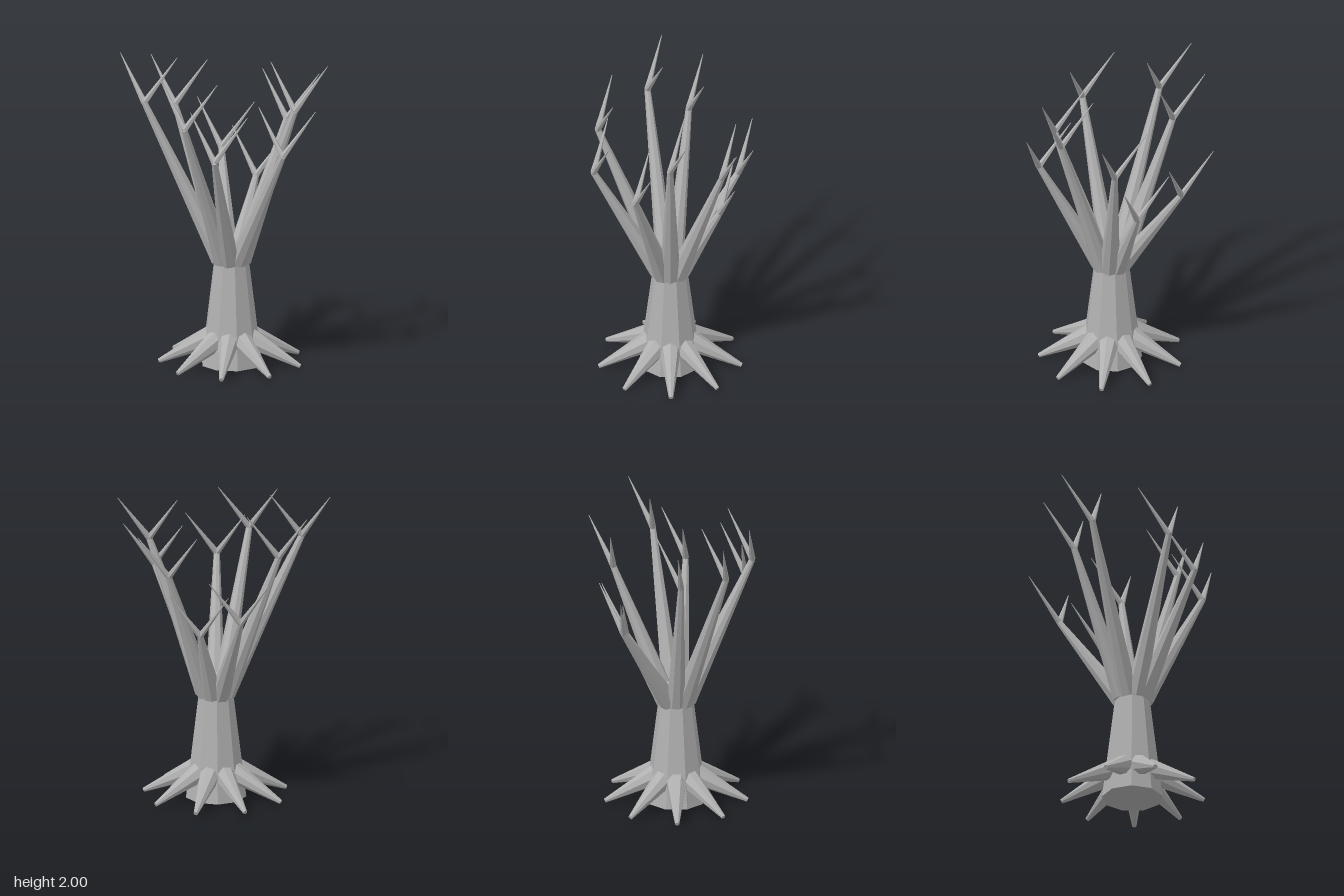
import * as THREE from 'three';

export function createModel() {
  const tree = new THREE.Group();
  tree.name = 'bareTree';
  const bark = new THREE.MeshStandardMaterial({ color: 0xb0b0b0, flatShading: true });
  bark.name = 'bark grey';

  const CX = 0.055, CZ = 0.015; // trunk axis
  const UP = new THREE.Vector3(0, 1, 0);
  const v = (x, y, z) => new THREE.Vector3(x, y, z);

  // Point at an angle and radius around the trunk axis
  const around = (deg, r, y) => {
    const a = THREE.MathUtils.degToRad(deg);
    return v(CX + r * Math.cos(a), y, CZ + r * Math.sin(a));
  };

  // Tapered faceted limb running from a to b
  function limb(name, a, b, ra, rb, sides, parent = tree) {
    const dir = b.clone().sub(a);
    const mesh = new THREE.Mesh(new THREE.CylinderGeometry(rb, ra, dir.length(), sides), bark);
    mesh.name = name;
    mesh.position.copy(a).add(b).multiplyScalar(0.5);
    mesh.quaternion.setFromUnitVectors(UP, dir.normalize());
    parent.add(mesh);
  }

  // Trunk: nine-sided taper
  const trunk = new THREE.Mesh(
    new THREE.CylinderGeometry(0.098, 0.195, 0.8, 9, 1, false, -Math.PI / 2), bark);
  trunk.name = 'trunk';
  trunk.position.set(CX, 0.4, CZ);
  tree.add(trunk);

  // Roots: nine spikes sloping down to the ground
  for (let i = 0; i < 9; i++) {
    limb('root', around(i * 40, 0.09, 0.193), around(i * 40, 0.46, 0.02), 0.075, 0.014, 8);
  }

  // Branches: fork point of each, in order around the trunk
  const forks = [
    [0.48, 1.70, 0.02], [0.47, 1.46, 0.24], [0.10, 1.46, 0.50],
    [-0.11, 1.65, 0.47], [-0.48, 1.71, 0.15], [-0.36, 1.64, -0.11],
    [-0.15, 1.29, -0.42], [0.12, 1.16, -0.30], [0.32, 1.55, -0.31],
  ];
  forks.forEach((f, i) => {
    const branch = new THREE.Group();
    branch.name = 'branch';
    tree.add(branch);
    const fork = v(...f);
    limb('bough', around(i * 40, 0.07, 0.69), fork, 0.064, 0.02, 8, branch);
    // Pair of twigs, mirrored left and right
    for (const s of [-1, 1]) {
      limb('twig', fork, fork.clone().add(v(s * 0.19, 0.288, -0.093)), 0.021, 0.002, 6, branch);
    }
  });

  return tree;
}
